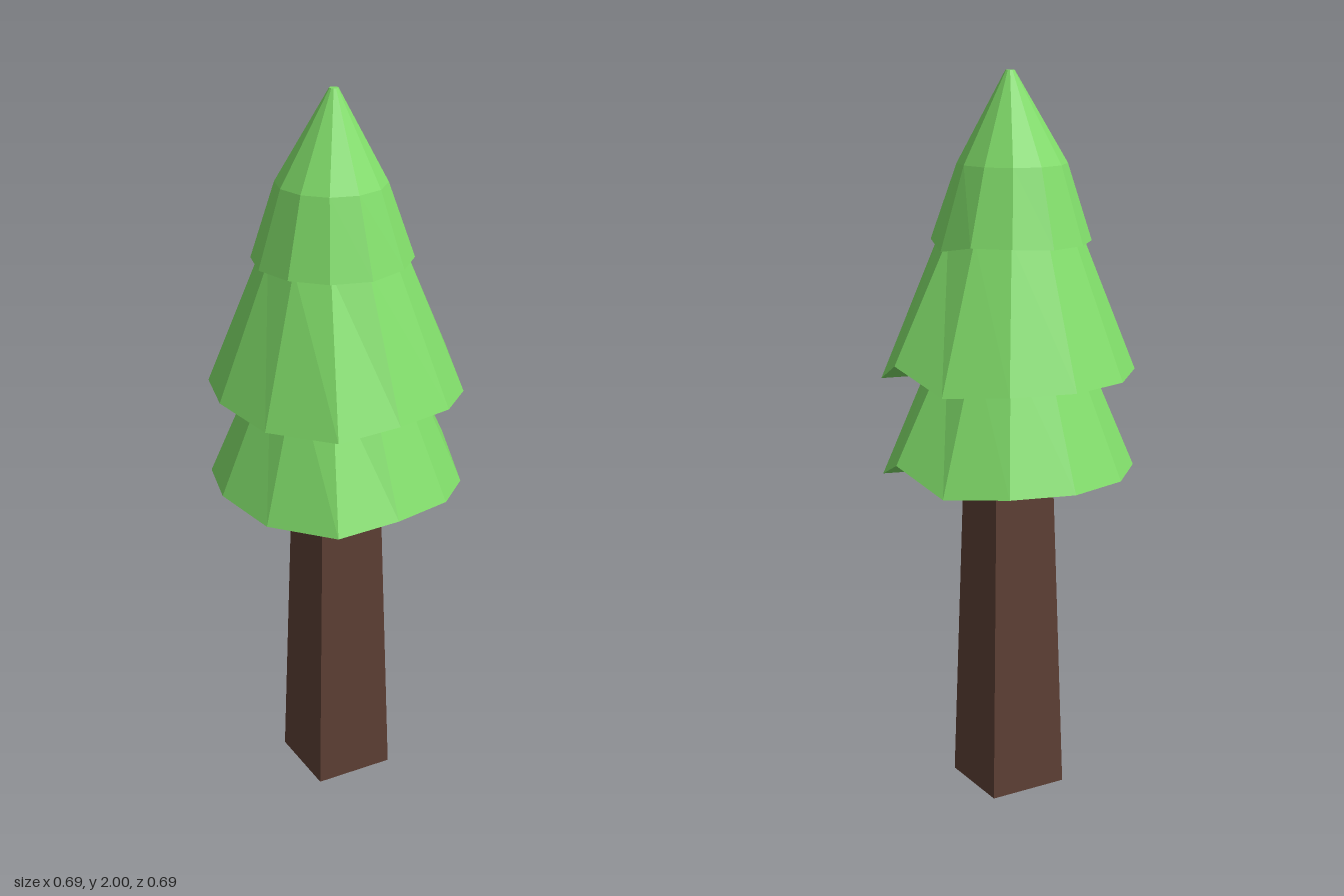
import * as THREE from 'three';

const SIDES = 12;
const leafMaterial = new THREE.MeshStandardMaterial({ color: 0x80dc69, flatShading: true });
const barkMaterial = new THREE.MeshStandardMaterial({ color: 0x5d3f34, flatShading: true });

// Uneven hem of the wide tiers: height offset per corner, starting at +x towards +z
const HEM = [0.045, -0.025, -0.005, 0, -0.015, -0.02, 0.005, 0, 0, 0, 0, -0.012];
const TOP_HEM = [-0.015, 0.005, 0.005, 0, 0, 0, 0, 0, 0, 0, 0.005, 0.005];

// One twelve-sided ring of points around (x, y, 0)
function ring(radius, y, x = 0, hem = null) {
  return Array.from({ length: SIDES }, (_, i) => {
    const a = (i / SIDES) * Math.PI * 2;
    return new THREE.Vector3(x + radius * Math.cos(a), y + (hem ? hem[i] : 0), radius * Math.sin(a));
  });
}

// Closed, flat-shaded skin through rings listed from bottom to top
function loft(rings) {
  const points = [];
  const centre = (r) => r.reduce((s, p) => s.add(p), new THREE.Vector3()).divideScalar(SIDES);
  const last = rings[rings.length - 1];
  const low = centre(rings[0]);
  const high = centre(last);
  for (let i = 0; i < SIDES; i++) {
    const j = (i + 1) % SIDES;
    for (let k = 0; k < rings.length - 1; k++) {
      const [a, b, c, d] = [rings[k][i], rings[k][j], rings[k + 1][i], rings[k + 1][j]];
      points.push(a, c, d, a, d, b);
    }
    points.push(low, rings[0][i], rings[0][j], high, last[j], last[i]);
  }
  const geometry = new THREE.BufferGeometry().setFromPoints(points);
  geometry.computeVertexNormals();
  return geometry;
}

// Wide skirt ring with one corner pulled outwards at the front
function skirt(y) {
  const r = ring(0.345, y, 0, HEM);
  r[4].z = 0.332;
  return r;
}

export function createModel() {
  const tree = new THREE.Group();
  tree.name = 'tree';
  const add = (name, geometry, material) => {
    const mesh = new THREE.Mesh(geometry, material);
    mesh.name = name;
    tree.add(mesh);
    return mesh;
  };

  // Square tapering trunk
  const trunk = new THREE.CylinderGeometry(0.088 * Math.SQRT2, 0.114 * Math.SQRT2, 1, 4);
  trunk.rotateY(Math.PI / 4).translate(0, 0.5, 0);
  add('trunk', trunk, barkMaterial);

  // Foliage, bottom to top
  add('lowerFoliage', loft([skirt(0.935), ring(0.19, 1.29, -0.005)]), leafMaterial);
  add('middleFoliage', loft([skirt(1.205), ring(0.19, 1.575, -0.008)]), leafMaterial);
  add('topFoliage', loft([
    ring(0.215, 1.555, -0.01, TOP_HEM),
    ring(0.147, 1.76, -0.013),
    ring(0.012, 2, -0.006),
  ]), leafMaterial);

  return tree;
}
